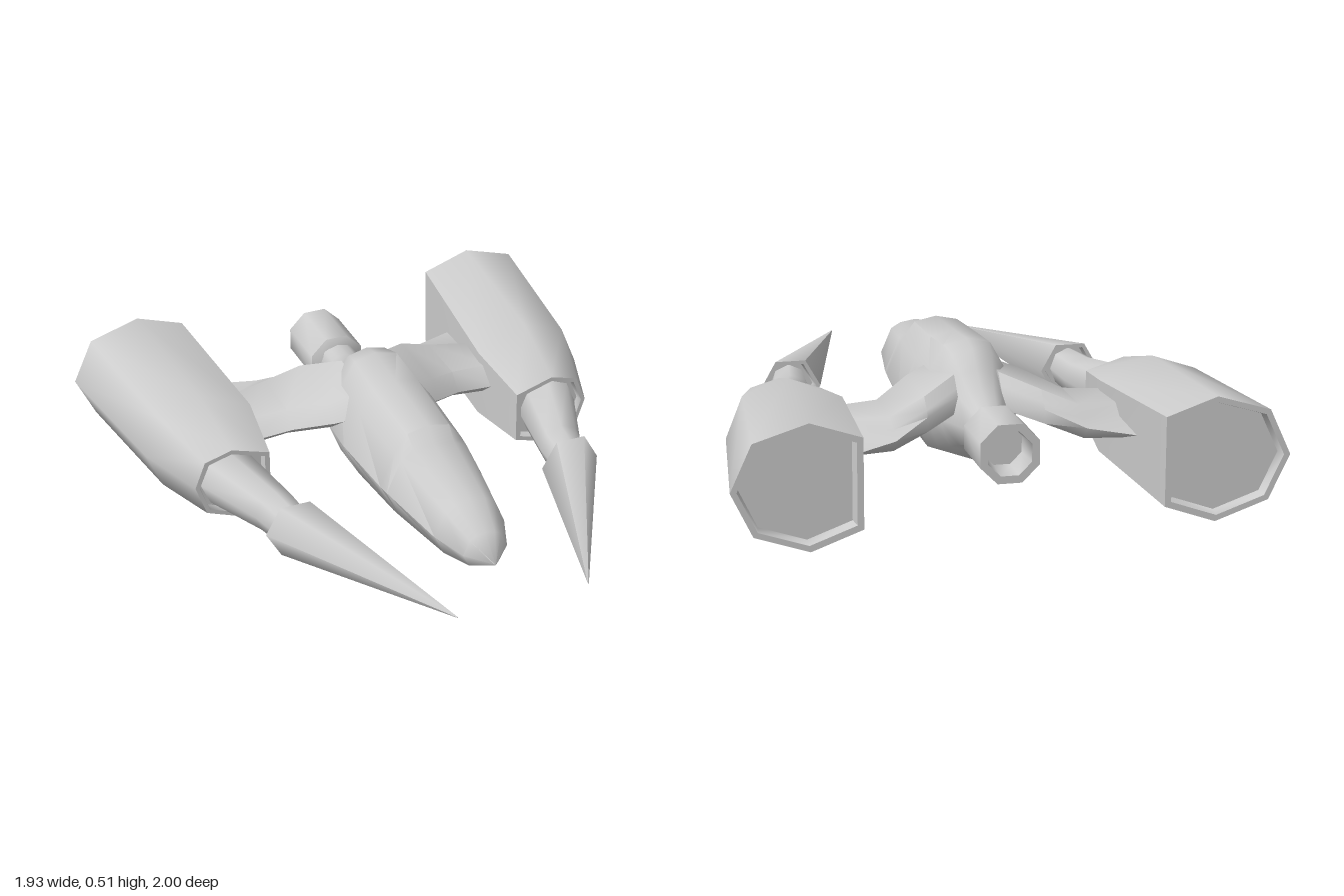
import * as THREE from 'three';
import { toCreasedNormals } from 'three/addons/utils/BufferGeometryUtils.js';

const material = new THREE.MeshStandardMaterial({ color: 0xcccccc });

// Skin a row of matching cross-section loops and close both ends; side = -1 mirrors in x
function loft(name, sections, side = 1, crease = 0.85) {
  const n = sections[0].length;
  const pos = [], index = [];
  const tri = (a, b, c) => (side > 0 ? index.push(a, b, c) : index.push(a, c, b));
  const put = (p) => pos.push(p[0] * side, p[1], p[2]);
  sections.forEach((loop) => loop.forEach(put));
  for (let i = 0; i < sections.length - 1; i++) {
    for (let j = 0; j < n; j++) {
      const a = i * n + j, b = i * n + (j + 1) % n;
      tri(a, a + n, b);
      tri(b, a + n, b + n);
    }
  }
  const last = sections.length - 1;
  [0, last].forEach((s) => {
    const c = pos.length / 3;
    put([0, 1, 2].map((k) => sections[s].reduce((sum, p) => sum + p[k], 0) / n));
    for (let j = 0; j < n; j++) {
      const a = s * n + j, b = s * n + (j + 1) % n;
      if (s === 0) tri(c, a, b); else tri(c, b, a);
    }
  });
  const geo = new THREE.BufferGeometry();
  geo.setAttribute('position', new THREE.Float32BufferAttribute(pos, 3));
  geo.setIndex(index);
  const mesh = new THREE.Mesh(toCreasedNormals(geo, crease), material);
  mesh.name = name;
  return mesh;
}

// Regular ring of n points facing the front
function ring(cx, cy, z, rx, ry, n, phase = 0) {
  return Array.from({ length: n }, (_, i) => {
    const a = phase + (i / n) * Math.PI * 2;
    return [cx + rx * Math.cos(a), cy + ry * Math.sin(a), z];
  });
}

// Shrink a loop towards its middle and place it at depth z
function inset(loop, k, z) {
  const c = [0, 1].map((i) => loop.reduce((s, p) => s + p[i], 0) / loop.length);
  return loop.map((p) => [c[0] + (p[0] - c[0]) * k, c[1] + (p[1] - c[1]) * k, z]);
}

// Fuselage section: half width, mid height, hull top, canopy top, bottom
function hull([z, w, mid, hullTop, top, bottom]) {
  const half = [
    [w, mid],
    [w * 0.7, mid + (hullTop - mid) * 0.75],
    [w * 0.43, mid + (top - mid) * 0.92],
  ];
  const low = [w * 0.72, mid + (bottom - mid) * 0.73];
  const pts = [
    ...half, [0, top],
    ...half.slice().reverse().map(([x, y]) => [-x, y]),
    [-low[0], low[1]], [0, bottom], low,
  ];
  return pts.map(([x, y]) => [x, y, z]);
}

// Engine section: outer, middle and inner x, then the heights
function engineLoop([z, inner, mid, shoulder, outer, bottom, lower, upperIn, upper, top]) {
  return [
    [outer, 0.225], [shoulder, upper], [mid, top], [inner, upperIn],
    [inner, lower], [mid, bottom], [shoulder, lower],
  ].map(([x, y]) => [x, y, z]);
}

// Wing section along x: thick main plate with a thin lower flap behind it
function wingLoop([x, front, step, back, top, bottom]) {
  const h = top - bottom;
  return [
    [front, bottom + h * 0.45], [front - 0.06, top], [step + 0.04, top],
    [step, bottom + h * 0.65], [back, bottom + h * 0.45],
    [step - 0.02, bottom], [front - 0.06, bottom],
  ].map(([z, y]) => [x, y, z]);
}

export function createModel() {
  const model = new THREE.Group();
  model.name = 'spacecraft';

  // Fuselage with raised canopy
  model.add(loft('fuselage', [
    [0.775, 0.004, 0.235, 0.239, 0.239, 0.231],
    [0.69, 0.085, 0.24, 0.315, 0.315, 0.175],
    [0.56, 0.135, 0.25, 0.375, 0.375, 0.143],
    [0.25, 0.185, 0.26, 0.425, 0.425, 0.107],
    [0.2, 0.19, 0.26, 0.43, 0.475, 0.1],
    [-0.1, 0.208, 0.26, 0.44, 0.495, 0.08],
    [-0.29, 0.2, 0.26, 0.44, 0.512, 0.067],
    [-0.37, 0.168, 0.26, 0.43, 0.492, 0.085],
    [-0.44, 0.135, 0.262, 0.41, 0.435, 0.12],
    [-0.5, 0.11, 0.265, 0.38, 0.385, 0.15],
    [-0.59, 0.08, 0.265, 0.345, 0.345, 0.185],
    [-0.7, 0.08, 0.265, 0.345, 0.345, 0.185],
  ].map(hull)));

  // Hollow tail nozzle
  model.add(loft('tailNozzle', [
    [-0.66, 0.08], [-0.68, 0.112], [-0.91, 0.112], [-0.91, 0.083], [-0.8, 0.075],
  ].map(([z, r]) => ring(0, 0.265, z, r, r, 8, Math.PI / 8))));

  for (const side of [1, -1]) {
    const prefix = side > 0 ? 'left' : 'right';

    // Engine pod with inset front face and recessed exhaust
    const pod = [
      [-0.1, 0.5, 0.645, 0.75, 0.79, 0.07, 0.11, 0.31, 0.325, 0.355],
      [-0.38, 0.47, 0.665, 0.825, 0.885, 0.03, 0.085, 0.35, 0.375, 0.43],
      [-1, 0.52, 0.7, 0.89, 0.965, 0.003, 0.068, 0.385, 0.388, 0.446],
    ].map(engineLoop);
    model.add(loft(prefix + 'Engine', [
      inset(pod[0], 0.85, -0.13), inset(pod[0], 0.88, -0.1), ...pod,
      inset(pod[2], 0.9, -1), inset(pod[2], 0.86, -0.96),
    ], side, 0.95));

    // Tapered arm between engine and spike
    model.add(loft(prefix + 'Arm', [
      ring(0.545, 0.215, 0.3, 0.07, 0.078, 8),
      ring(0.567, 0.212, 0.14, 0.083, 0.085, 8),
      ring(0.645, 0.212, -0.14, 0.118, 0.115, 8),
    ], side, 0.95));

    // Forward spike, bent inwards, with a shallow socket at its base
    const base = ring(0.543, 0.215, 0.265, 0.113, 0.115, 6);
    model.add(loft(prefix + 'Spike', [
      ring(0.247, 0.232, 1, 0.002, 0.002, 6), base,
      inset(base, 0.86, 0.265), inset(base, 0.8, 0.31),
    ], side, 1.1));

    // Drooping wing strut
    model.add(loft(prefix + 'Wing', [
      [0.08, -0.12, -0.47, -0.49, 0.42, 0.3],
      [0.21, -0.18, -0.57, -0.585, 0.375, 0.265],
      [0.34, -0.28, -0.605, -0.67, 0.32, 0.215],
      [0.5, -0.29, -0.57, -0.74, 0.31, 0.195],
    ].map(wingLoop), side));
  }
  return model;
}
